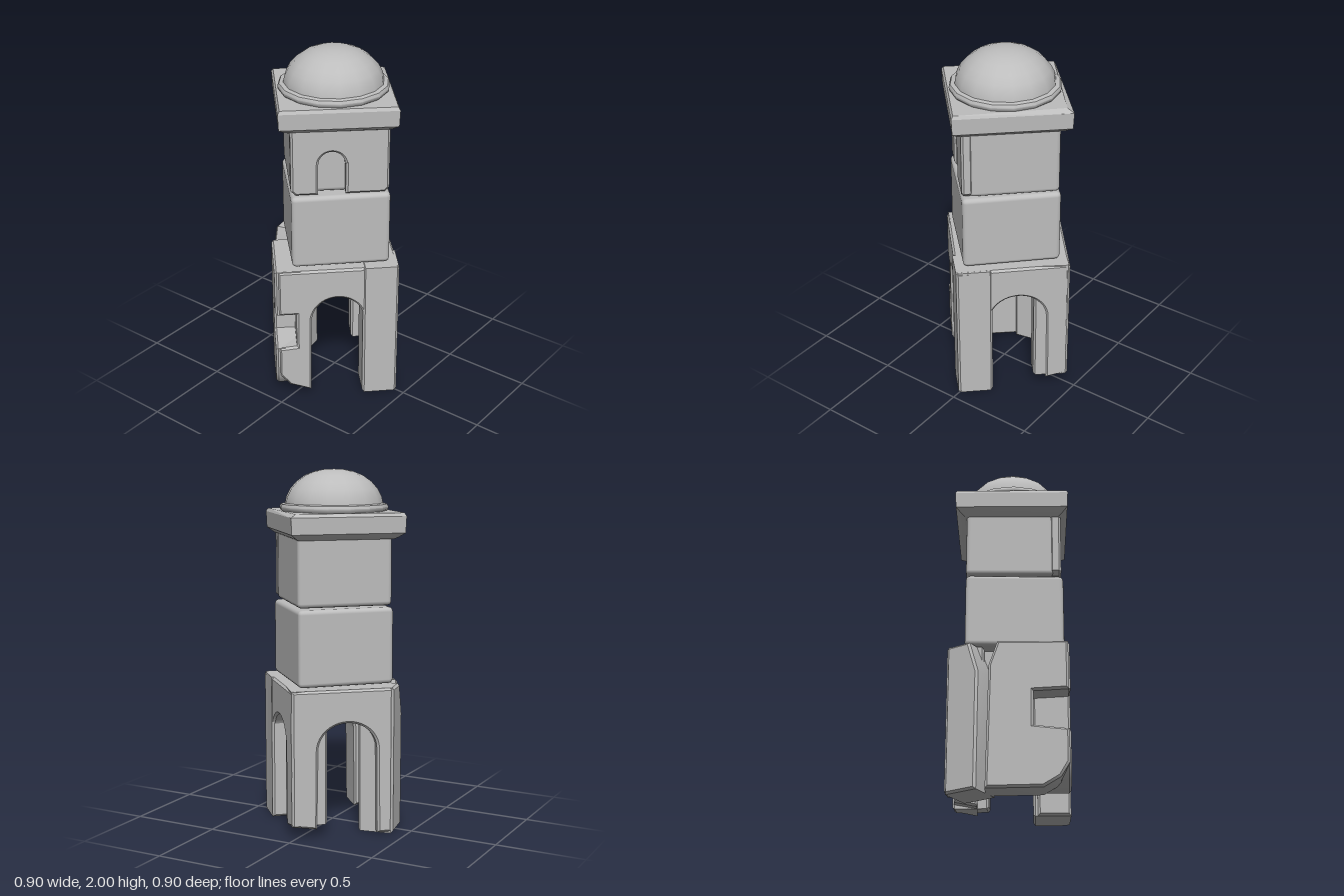
import * as THREE from 'three';
import { toCreasedNormals } from 'three/addons/utils/BufferGeometryUtils.js';
import { RoundedBoxGeometry } from 'three/addons/geometries/RoundedBoxGeometry.js';

const TOP = 0.825;

export function createModel() {
  const tower = new THREE.Group();
  tower.name = 'stoneTower';
  const stone = new THREE.MeshStandardMaterial({ color: 0xbdbdbd });
  stone.name = 'grey stone';

  function add(name, geometry, parent = tower) {
    const mesh = new THREE.Mesh(geometry, stone);
    mesh.name = name;
    parent.add(mesh);
    return mesh;
  }

  // Slab with bevelled edges whose outer face ends at z = 0
  function slab(shape, depth, bevel = 0.012) {
    const g = new THREE.ExtrudeGeometry(shape, {
      depth: depth - 2 * bevel, bevelThickness: bevel, bevelSize: bevel,
      bevelOffset: -bevel, bevelSegments: 1, curveSegments: 10,
    });
    g.translate(0, 0, bevel - depth);
    return toCreasedNormals(g, 0.55);
  }

  // Stands a slab from corner a to corner b, as seen from outside
  function wall(name, a, b, depth, shape) {
    const mesh = add(name, slab(shape, depth));
    mesh.position.set(a[0], 0, a[1]);
    mesh.rotation.y = Math.atan2(a[1] - b[1], b[0] - a[0]);
  }

  const polygon = (pts) => new THREE.Shape(pts.map(([x, y]) => new THREE.Vector2(x, y)));

  // Outline going down the left leg, over the arch and up the right leg
  function archOutline(left, right) {
    const shape = polygon(left);
    const x0 = left[left.length - 1][0], x1 = right[0][0];
    const r = (x1 - x0) / 2;
    shape.lineTo(x0 + 0.005, 0.49);
    shape.absellipse((x0 + x1) / 2, 0.49, r - 0.005, 0.15, Math.PI, 0, true);
    right.forEach(([x, y]) => shape.lineTo(x, y));
    return shape;
  }

  // Base: three arched walls with worn legs
  const frontCorner = [0, 0.45], leftCorner = [0.455, 0.005];
  const rightCorner = [-0.455, -0.045], backCorner = [0.09, -0.425];
  wall('frontLeftArch', frontCorner, leftCorner, 0.2, archOutline(
    [[0, TOP], [0, 0], [0.18, 0]],
    [[0.51, 0.05], [0.637, 0.075], [0.63, TOP]]));
  wall('frontRightArch', rightCorner, frontCorner, 0.2, archOutline(
    [[0, TOP - 0.01], [0, 0.54], [0.1, 0.54], [0.1, 0.33], [0, 0.32], [0, 0.14], [0.06, 0.07], [0.18, 0.03]],
    [[0.485, 0], [0.67, 0], [0.67, TOP]]));
  wall('backLeftArch', leftCorner, backCorner, 0.2, archOutline(
    [[0, TOP], [0, 0.07], [0.14, 0.05]],
    [[0.48, 0.01], [0.563, 0.01], [0.563, TOP]]));

  // Cracked back wall: a twisted corner post and a broken panel
  wall('backPost', backCorner, [-0.11, -0.385], 0.2, polygon(
    [[0, 0], [0.19, 0], [0.195, 0.65], [0.14, TOP], [0, TOP]]));
  wall('brokenBackWall', [-0.14, -0.36], [-0.463, -0.063], 0.16, polygon(
    [[0, 0], [0.3, 0.005], [0.39, 0.06], [0.437, 0.14], [0.437, 0.32], [0.25, 0.34],
      [0.25, 0.53], [0.437, 0.54], [0.437, TOP - 0.01], [0.06, TOP - 0.01], [0.015, 0.68]]));

  // Ceiling over the passage
  const ceiling = add('ceiling', new THREE.BoxGeometry(0.44, 0.15, 0.44));
  ceiling.position.set(0, 0.738, 0);
  ceiling.rotation.y = Math.PI / 4;

  // Middle block
  const middle = add('middleBlock', new RoundedBoxGeometry(0.54, 0.425, 0.54, 2, 0.025));
  middle.position.set(0, 1.043, 0);
  middle.rotation.y = Math.PI / 4;

  // Upper block with an arched niche in its front right face
  const upper = new THREE.Group();
  upper.name = 'upperBlock';
  upper.rotation.y = Math.PI / 4 - 0.02;
  tower.add(upper);
  const body = add('upperBody', new RoundedBoxGeometry(0.49, 0.4, 0.53, 2, 0.025), upper);
  body.position.set(0.02, 1.465, 0);
  const niche = polygon([[-0.265, 1.66], [-0.265, 1.29], [-0.24, 1.266], [-0.03, 1.266]]);
  niche.lineTo(-0.03, 1.44);
  niche.absarc(0.045, 1.44, 0.072, Math.PI, 0, true);
  [[0.12, 1.266], [0.24, 1.266], [0.265, 1.29], [0.265, 1.66]].forEach(([x, y]) => niche.lineTo(x, y));
  niche.closePath();
  // Mirrored along the face so the niche sits towards the outer corner
  const mirrored = new THREE.Shape(niche.getPoints(10).map((p) => new THREE.Vector2(-p.x, p.y)).reverse());
  const plate = add('nichePlate', slab(mirrored, 0.06), upper);
  plate.rotation.y = -Math.PI / 2;
  plate.position.x = -0.265;

  // Square cornice with one chipped corner
  const profile = (pts) => pts.map(([r, y]) => new THREE.Vector2(r, y));
  const corniceGeo = new THREE.LatheGeometry(profile([
    [0, 1.63], [0.375, 1.63], [0.4, 1.64], [0.445, 1.665], [0.45, 1.755], [0.436, 1.773], [0, 1.773]]), 4);
  const pos = corniceGeo.attributes.position;
  for (let i = 0; i < pos.count; i++) {
    if (pos.getX(i) > 0.4 && pos.getY(i) > 1.76) pos.setX(i, 0.405);
  }
  const cornice = add('cornice', toCreasedNormals(corniceGeo, 0.3));
  cornice.position.z = -0.01;
  cornice.rotation.y = -0.035;

  // Dome with a rounded rim
  const dome = add('dome', toCreasedNormals(new THREE.LatheGeometry(profile([
    [0.285, 1.765], [0.3, 1.78], [0.303, 1.795], [0.295, 1.81], [0.272, 1.815], [0.265, 1.85],
    [0.243, 1.892], [0.208, 1.932], [0.16, 1.966], [0.105, 1.988], [0.05, 1.998], [0, 2]]), 16), 0.75));
  dome.position.z = -0.008;

  return tower;
}
